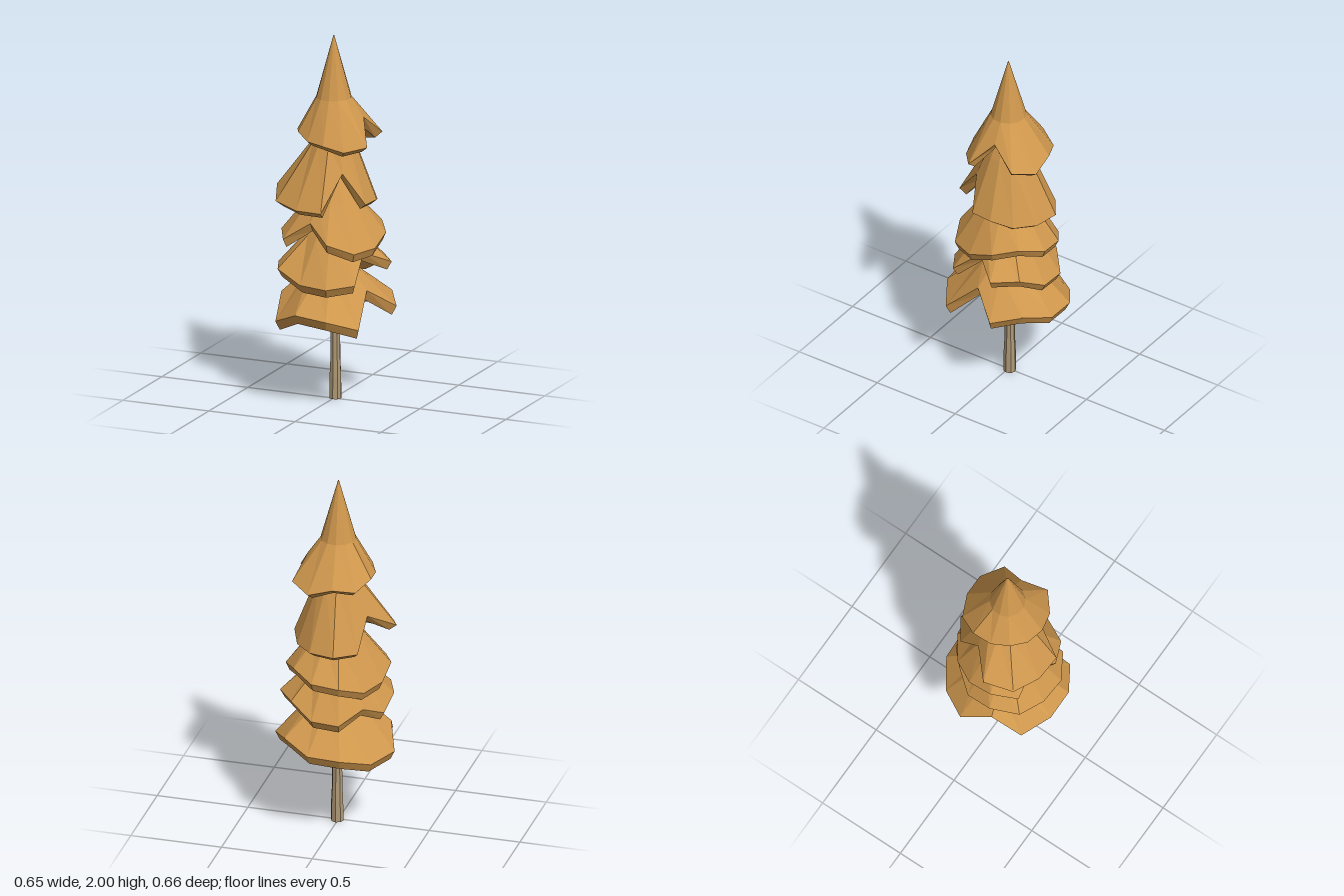
import * as THREE from 'three';

const SIDES = 12;
const needleMaterial = new THREE.MeshStandardMaterial({ color: 0xcf974d, flatShading: true });
const barkMaterial = new THREE.MeshStandardMaterial({ color: 0xb09a78, flatShading: true });

// Each tier, bottom to top: tip height, shoulder ring [radius, y], rim [inset, thickness],
// turn in degrees, rim radii and rim heights going round from just right of the front.
const TIERS = [
  { tip: 0.95, shoulder: [0.14, 0.71], rim: [0.025, 0.05], turn: 17,
    radii: [0.34, 0.34, 0.22, 0.335, 0.335, 0.34, 0.34, 0.335, 0.34, 0.28, 0.335, 0.34],
    drops: [0.46, 0.41, 0.58, 0.47, 0.51, 0.46, 0.45, 0.41, 0.43, 0.53, 0.41, 0.48] },
  { tip: 1.12, shoulder: [0.15, 0.91], rim: [0.025, 0.045], turn: 16,
    radii: [0.30, 0.30, 0.20, 0.31, 0.29, 0.29, 0.29, 0.26, 0.28, 0.295, 0.32, 0.29],
    drops: [0.63, 0.65, 0.79, 0.72, 0.72, 0.65, 0.64, 0.71, 0.65, 0.70, 0.70, 0.64] },
  { tip: 1.32, shoulder: [0.14, 1.10], rim: [0.02, 0.045], turn: 16,
    radii: [0.27, 0.29, 0.28, 0.28, 0.275, 0.29, 0.28, 0.27, 0.27, 0.28, 0.29, 0.20],
    drops: [0.87, 0.82, 0.83, 0.88, 0.91, 0.87, 0.85, 0.81, 0.83, 0.88, 0.86, 0.96] },
  { tip: 1.65, shoulder: [0.115, 1.42], rim: [0.04, 0.03], turn: 10,
    radii: [0.285, 0.17, 0.235, 0.235, 0.24, 0.26, 0.275, 0.25, 0.19, 0.31, 0.32, 0.29],
    drops: [1.06, 1.25, 1.08, 1.08, 1.05, 1.05, 1.05, 1.05, 1.22, 1.13, 1.08, 1.06] },
  { tip: 2.0, shoulder: [0.096, 1.66], rim: [0.04, 0.03], turn: 8,
    radii: [0.205, 0.225, 0.255, 0.165, 0.265, 0.265, 0.24, 0.24, 0.22, 0.20, 0.195, 0.195],
    drops: [1.41, 1.38, 1.40, 1.53, 1.42, 1.39, 1.43, 1.41, 1.45, 1.44, 1.45, 1.42] }
];

// Skins a stack of rings, given from top to bottom; ring(i) returns [radius, y].
function skinRings(rings, turn) {
  const positions = [];
  const index = [];
  for (const ring of rings) {
    for (let i = 0; i < SIDES; i++) {
      const a = THREE.MathUtils.degToRad(turn + (i * 360) / SIDES);
      const [r, y] = ring(i);
      positions.push(r * Math.sin(a), y, r * Math.cos(a));
    }
  }
  for (let k = 0; k < rings.length - 1; k++) {
    for (let i = 0; i < SIDES; i++) {
      const j = (i + 1) % SIDES;
      const u = k * SIDES, l = u + SIDES;
      index.push(u + i, l + i, l + j, u + i, l + j, u + j);
    }
  }
  const geometry = new THREE.BufferGeometry();
  geometry.setAttribute('position', new THREE.Float32BufferAttribute(positions, 3));
  geometry.setIndex(index);
  const flat = geometry.toNonIndexed();
  flat.computeVertexNormals();
  return flat;
}

// One skirt of branches: cone tip, shoulder, thick wavy rim and hollow underside.
function branchTier({ tip, shoulder, rim, turn, radii, drops }) {
  const [sr, sy] = shoulder;
  const [inset, thickness] = rim;
  const under = sy - 0.11;
  const geometry = skinRings([
    () => [0.002, tip],
    () => [sr, sy],
    (i) => [radii[i], drops[i] + thickness],
    (i) => [radii[i] - inset, drops[i]],
    () => [sr * 0.8, under],
    () => [0.002, under]
  ], turn);
  return new THREE.Mesh(geometry, needleMaterial);
}

export function createModel() {
  const tree = new THREE.Group();
  tree.name = 'coniferTree';

  // Slender trunk, slightly flared at the foot
  const profile = [[0, 0], [0.034, 0], [0.033, 0.12], [0.028, 0.22], [0.027, 0.45], [0.022, 0.8], [0, 0.8]]
    .map(([r, y]) => new THREE.Vector2(r, y));
  const trunk = new THREE.Mesh(new THREE.LatheGeometry(profile, 8), barkMaterial);
  trunk.name = 'trunk';
  trunk.position.set(0.004, 0, -0.011);
  tree.add(trunk);

  // Overlapping branch tiers
  TIERS.forEach((spec, n) => {
    const tier = branchTier(spec);
    tier.name = `branchTier${n + 1}`;
    tree.add(tier);
  });
  return tree;
}
